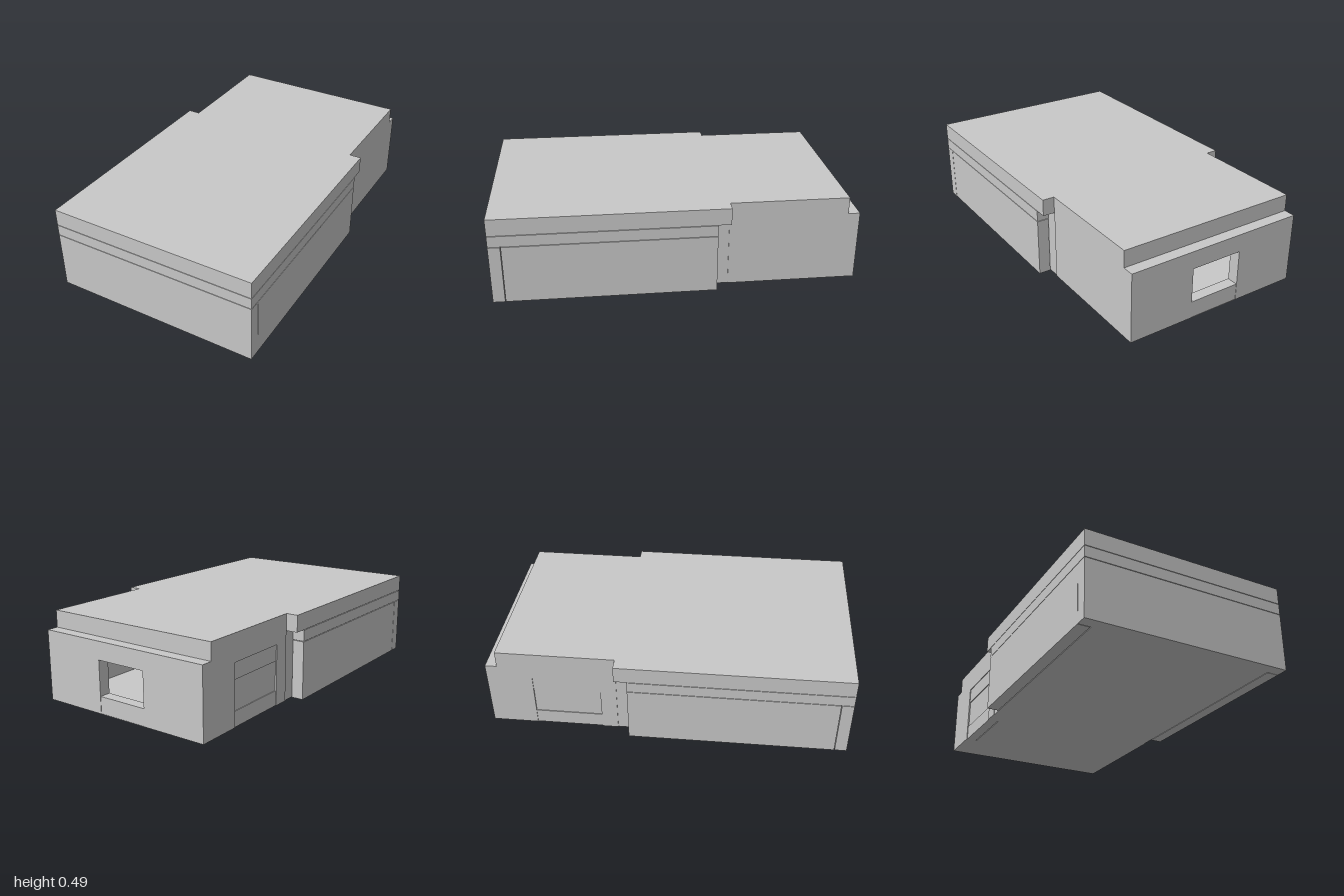
import * as THREE from 'three';

export function createModel() {
  const model = new THREE.Group();
  const grey = new THREE.MeshStandardMaterial({ color: 0xc8c8c8 });
  grey.name = 'plain grey';

  // Box given by its low and high corners
  function block(name, [x0, x1], [y0, y1], [z0, z1], parent = model) {
    const mesh = new THREE.Mesh(new THREE.BoxGeometry(x1 - x0, y1 - y0, z1 - z0), grey);
    mesh.position.set((x0 + x1) / 2, (y0 + y1) / 2, (z0 + z1) / 2);
    mesh.name = name;
    parent.add(mesh);
  }

  // Upright wall in the xy plane with a rectangular opening, extruded along z
  function wallWithOpening(name, halfWidth, height, opening, depth) {
    const shape = new THREE.Shape([
      new THREE.Vector2(-halfWidth, 0), new THREE.Vector2(halfWidth, 0),
      new THREE.Vector2(halfWidth, height), new THREE.Vector2(-halfWidth, height),
    ]);
    const [x0, x1, y0, y1] = opening;
    shape.holes.push(new THREE.Path([
      new THREE.Vector2(x0, y0), new THREE.Vector2(x0, y1),
      new THREE.Vector2(x1, y1), new THREE.Vector2(x1, y0),
    ]));
    const mesh = new THREE.Mesh(
      new THREE.ExtrudeGeometry(shape, { depth, bevelEnabled: false }), grey);
    mesh.name = name;
    model.add(mesh);
    return mesh;
  }

  const W = 0.59, R = 0.523, T = 0.065, seam = 0.003;

  // Wide front volume: core, outer panels, band and overhanging roof slab
  const front = new THREE.Group();
  front.name = 'frontVolume';
  model.add(front);
  block('frontCore', [-R + 0.004, R - 0.004], [0, 0.396], [-0.28, 0.935], front);
  block('frontPanel', [-W, W], [0, 0.328], [0.935, 1], front);
  for (const s of [-1, 1]) {
    const span = [s * R, s * W].sort((a, b) => a - b);
    block('sidePanel', span, [0, 0.328], [-0.21, 0.935 - seam], front);
    block('sideBand', span, [0.328 + seam, 0.393], [-0.21, 0.935], front);
  }
  block('frontBand', [-W, W], [0.328 + seam, 0.393], [0.935, 1], front);
  block('roofSlab', [-W, W], [0.396, 0.49], [-0.28, 1], front);

  // Hollow rear volume
  block('rearFloor', [-R + T, R - T], [0, 0.03], [-0.935, -0.28]);
  block('rearRoof', [-R + T, R - T], [0.396, 0.49], [-0.935, -0.28]);
  block('rightWall', [R - T, R], [0, 0.49], [-0.935, -0.28]);

  // Side wall with a panelled opening
  const zA = -0.745, zB = -0.37, top = 0.34;
  const xs = [-R, -R + T];
  block('leftWallBack', xs, [0, 0.49], [-0.935, zA]);
  block('leftWallFront', xs, [0, 0.49], [zB, -0.28]);
  block('leftWallHead', xs, [top, 0.49], [zA, zB]);
  const rows = [0, 0.085, 0.25, top];
  for (let i = 0; i < 3; i++) {
    const inset = i === 1 ? 0.008 : 0.004;
    block('leftOpeningPanel', [-R + inset, -R + T - inset], [rows[i], rows[i + 1]], [zA, zB]);
  }

  // Back plate with a central window and a separate sill
  wallWithOpening('backPlate', R, 0.395, [-0.15, 0.15, 0.001, 0.294], T).position.z = -1;
  block('windowSill', [-0.15, 0.15], [0, 0.096], [-0.998, -0.935]);
  // Upper and lower parts of the inner wall behind the plate
  block('rearHead', [-R + T, R - T], [0.3, 0.396], [-0.935, -0.925]);

  return model;
}
